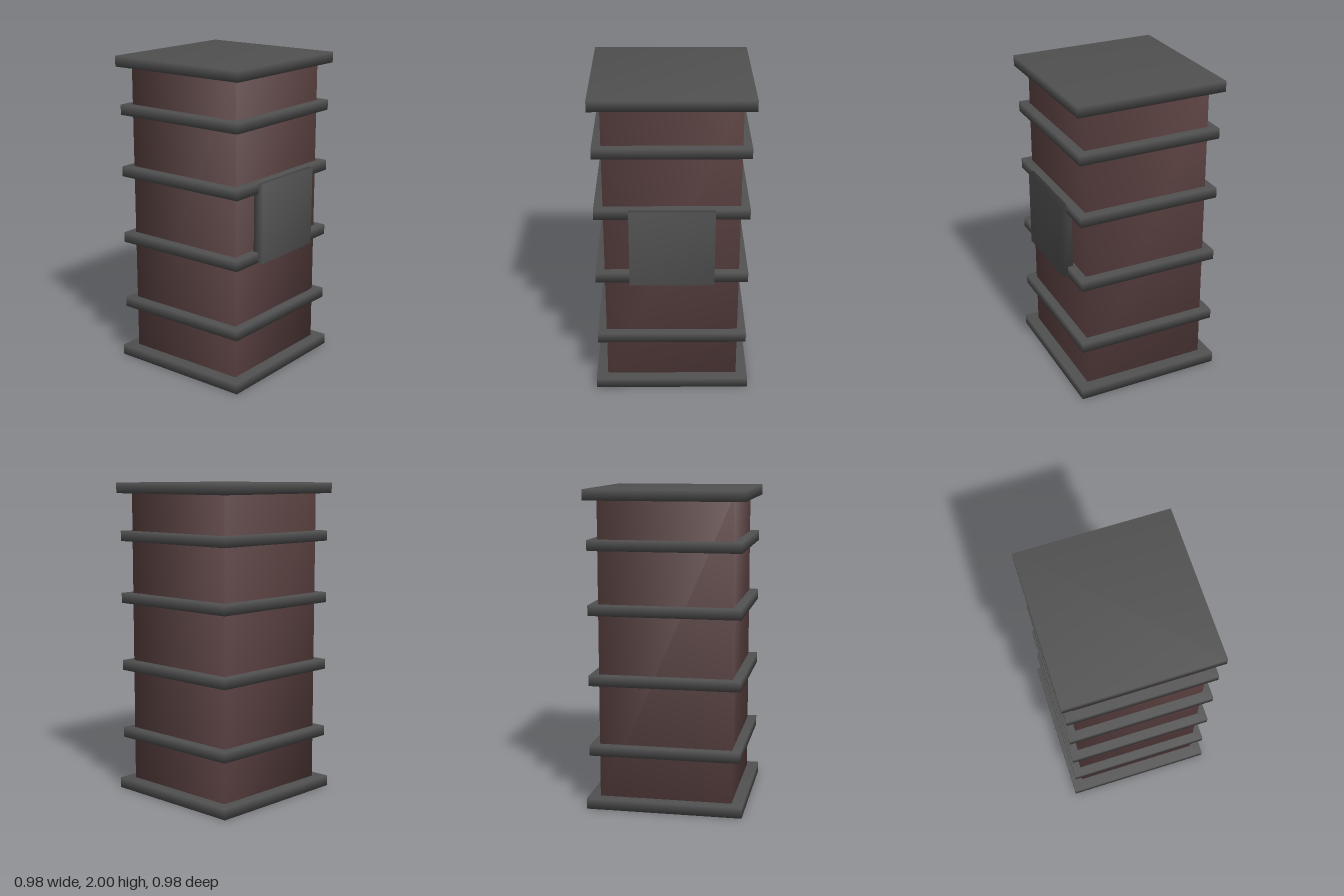
import * as THREE from 'three';
import { mergeVertices } from 'three/addons/utils/BufferGeometryUtils.js';

const metal = new THREE.MeshStandardMaterial({ color: 0x505050 });
const wall = new THREE.MeshStandardMaterial({ color: 0x5a4040 });

// Box between two corners, with normals shared across its edges
function softBox(name, [x0, y0, z0], [x1, y1, z1], material) {
  let geometry = new THREE.BoxGeometry(x1 - x0, y1 - y0, z1 - z0);
  geometry.deleteAttribute('normal');
  geometry.deleteAttribute('uv');
  geometry = mergeVertices(geometry);
  geometry.computeVertexNormals();
  geometry.translate((x0 + x1) / 2, (y0 + y1) / 2, (z0 + z1) / 2);
  const mesh = new THREE.Mesh(geometry, material);
  mesh.name = name;
  return mesh;
}

export function createModel() {
  const group = new THREE.Group();
  group.name = 'bandedTower';

  // Square shaft
  group.add(softBox('body', [-0.42, 0.03, -0.415], [0.418, 1.97, 0.402], wall));

  // Base and top slabs
  for (const [name, y] of [['baseSlab', 0], ['topSlab', 1.933]]) {
    group.add(softBox(name, [-0.492, y, -0.487], [0.49, y + 0.067, 0.47], metal));
  }

  // Bands around the shaft
  [0.344, 0.792, 1.232, 1.63].forEach((y, i) => {
    group.add(softBox(`band${i + 1}`, [-0.475, y, -0.468], [0.472, y + 0.065, 0.454], metal));
  });

  // Front panel, standing clear of the shaft
  group.add(softBox('frontPanel', [-0.263, 0.79, 0.42], [0.261, 1.294, 0.488], metal));

  return group;
}
